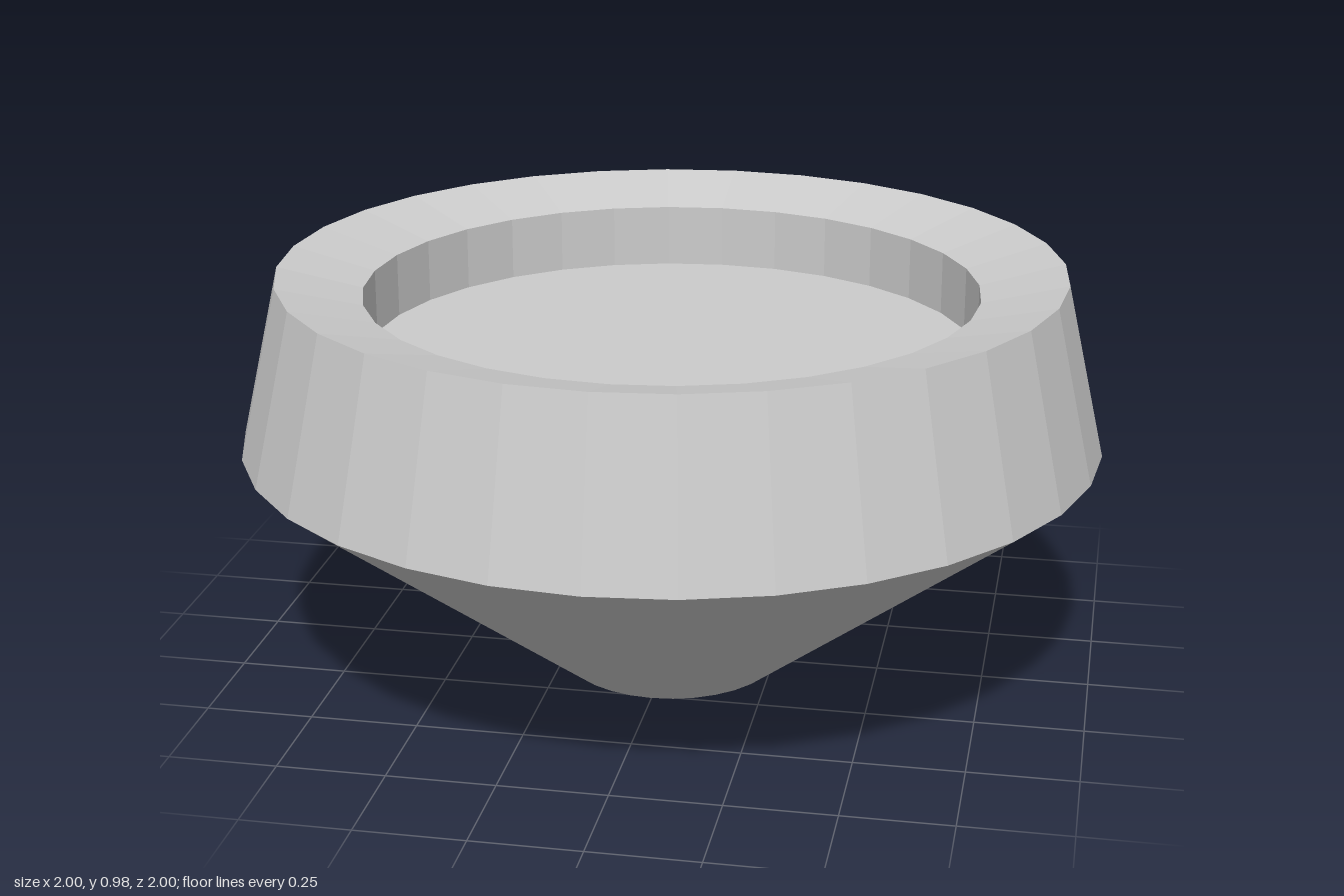
import * as THREE from 'three';

const SIDES = 32;

// Faceted ring or disc turned from a short [radius, height] profile
function turned(name, profile) {
  const points = profile.map(([r, y]) => new THREE.Vector2(r, y));
  const mesh = new THREE.Mesh(
    new THREE.LatheGeometry(points, SIDES),
    new THREE.MeshStandardMaterial({ color: 0xcccccc, flatShading: true, side: THREE.DoubleSide })
  );
  mesh.name = name;
  return mesh;
}

export function createModel() {
  const group = new THREE.Group();
  group.name = 'recessedBowl';

  // Thin shell, open at the bottom
  group.add(turned('lowerCone', [[0.26, 0], [1, 0.575]]));
  group.add(turned('upperBand', [[1, 0.575], [0.907, 0.975]]));

  // Rim slopes inward to a shallow round recess
  group.add(turned('slopedRim', [[0.907, 0.975], [0.71, 0.925]]));
  group.add(turned('recessWall', [[0.71, 0.925], [0.71, 0.775]]));

  // Flat floor of the recess
  const floor = new THREE.Mesh(
    new THREE.CircleGeometry(0.71, SIDES).rotateX(-Math.PI / 2),
    new THREE.MeshStandardMaterial({ color: 0xcccccc, flatShading: true, side: THREE.DoubleSide })
  );
  floor.name = 'recessFloor';
  floor.position.y = 0.775;
  group.add(floor);

  return group;
}
